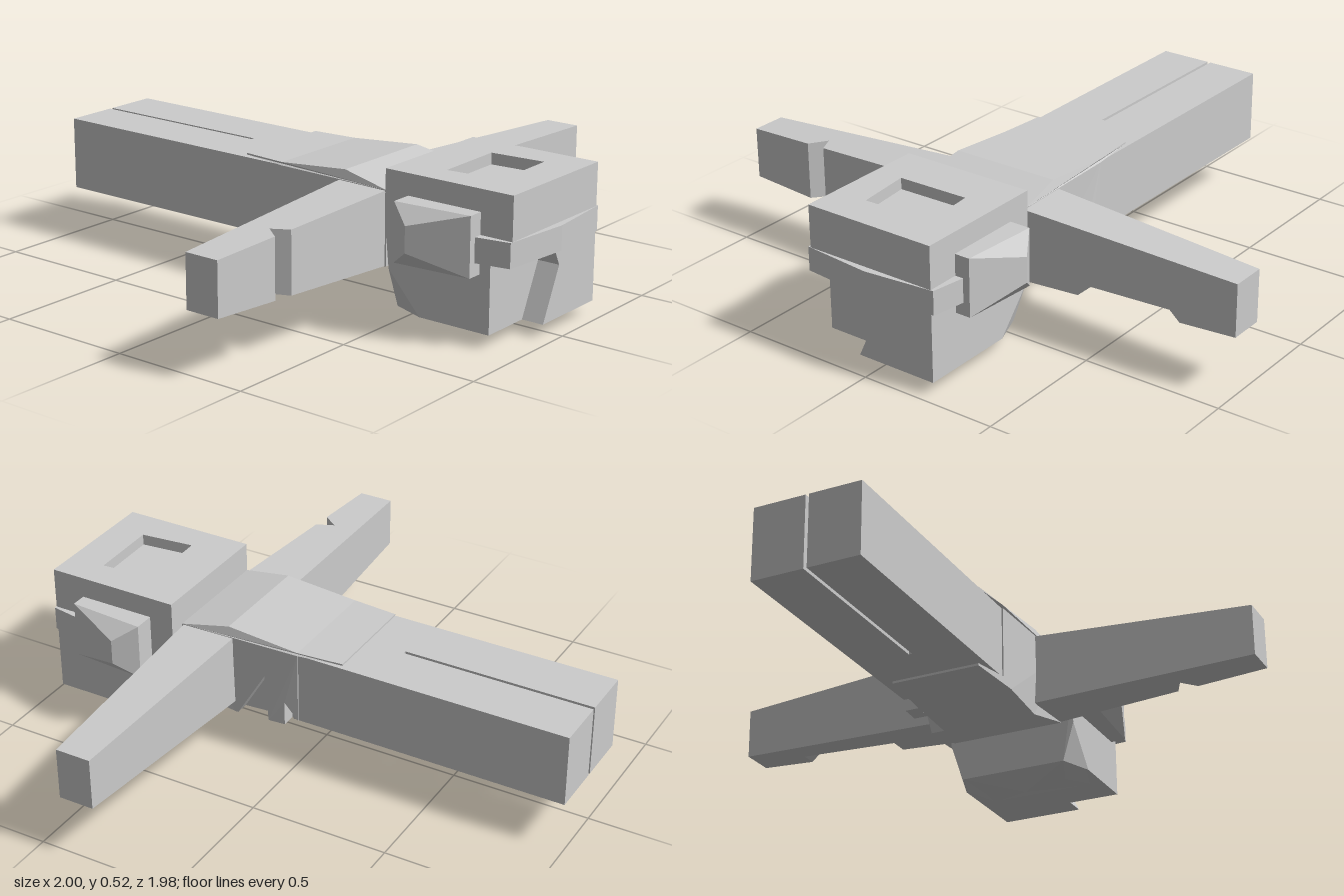
import * as THREE from 'three';
import { ConvexGeometry } from 'three/addons/geometries/ConvexGeometry.js';

const material = new THREE.MeshStandardMaterial({ color: 0xcccccc, flatShading: true });
const lerp = THREE.MathUtils.lerp;
const toVec2 = (pts) => pts.map(([a, b]) => new THREE.Vector2(a, b));

// Piecewise linear curve through [t, value] pairs in rising t
function curve(pairs, t) {
  for (let i = 1; i < pairs.length; i++) {
    const [t0, v0] = pairs[i - 1], [t1, v1] = pairs[i];
    if (t <= t1 || i === pairs.length - 1) return lerp(v0, v1, (t - t0) / (t1 - t0));
  }
}

// Extrudes an outline from c0 to c1, then places each point with map(a, b, c)
function prism(outline, c0, c1, map, hole) {
  const shape = new THREE.Shape(toVec2(outline));
  if (hole) shape.holes.push(new THREE.Path(toVec2(hole)));
  const geo = new THREE.ExtrudeGeometry(shape, { depth: c1 - c0, bevelEnabled: false });
  const p = geo.attributes.position;
  for (let i = 0; i < p.count; i++) p.setXYZ(i, ...map(p.getX(i), p.getY(i), p.getZ(i) + c0));
  // Turn the faces outward if the mapping mirrored them
  const v = [0, 1, 2].map(() => new THREE.Vector3());
  let volume = 0;
  for (let i = 0; i < p.count; i += 3) {
    v.forEach((q, k) => q.fromBufferAttribute(p, i + k));
    volume += v[0].dot(v[1].clone().cross(v[2]));
  }
  if (volume < 0) {
    for (let i = 0; i < p.count; i += 3) {
      v.forEach((q, k) => q.fromBufferAttribute(p, i + k));
      p.setXYZ(i + 1, v[2].x, v[2].y, v[2].z);
      p.setXYZ(i + 2, v[1].x, v[1].y, v[1].z);
    }
  }
  geo.computeVertexNormals();
  return geo;
}

const hull = (pts) => new ConvexGeometry(pts.map((q) => new THREE.Vector3(...q)));
const mirrored = (pts) => pts.flatMap(([x, y, z]) => [[x, y, z], [-x, y, z]]);

function boxBetween(x0, x1, y0, y1, z0, z1) {
  return new THREE.BoxGeometry(x1 - x0, y1 - y0, z1 - z0)
    .translate((x0 + x1) / 2, (y0 + y1) / 2, (z0 + z1) / 2);
}

export function createModel() {
  const model = new THREE.Group();
  model.name = 'blockFigure';
  const group = (name) => {
    const g = new THREE.Group();
    g.name = name;
    model.add(g);
    return g;
  };
  const add = (parent, name, geo) => {
    const mesh = new THREE.Mesh(geo, material);
    mesh.name = name;
    parent.add(mesh);
  };

  // Head: upper block, pocketed crown, chamfered jaw and broken face plate
  const head = group('head');
  const flatY = (x, z, y) => [x, y, z];
  add(head, 'headBlock', boxBetween(-0.245, 0.245, 0.29, 0.485, 0.47, 0.96));
  add(head, 'crown', prism(
    [[-0.245, 0.47], [0.245, 0.47], [0.245, 0.96], [-0.245, 0.96]], 0.485, 0.525, flatY,
    [[-0.14, 0.635], [0.12, 0.63], [0.135, 0.825], [-0.12, 0.83]]));
  add(head, 'jaw', hull(mirrored([
    [0.245, 0.29, 0.88], [0.245, 0.05, 0.88], [0.245, 0.29, 0.475],
    [0.245, 0.19, 0.485], [0.245, 0.05, 0.61], [0.2, 0.05, 0.49],
  ])));
  add(head, 'chin', hull(mirrored([
    [0.245, 0.052, 0.61], [0.16, 0.025, 0.6], [0, 0.005, 0.6], [0.2, 0.052, 0.49], [0.2, 0.052, 0.75],
  ])));
  add(head, 'facePlate', prism(
    [[0, 0.29], [0.03, 0.23], [-0.055, 0.05], [0.245, 0.05], [0.245, 0.29]],
    0.87, 0.96, (x, y, z) => [x, y, z]));
  add(head, 'visorBand', prism(
    [[-0.275, 0.84], [0.275, 0.84], [0.255, 0.96], [0, 0.985], [-0.255, 0.96]], 0.29, 0.375, flatY));

  // Ear pods: a block with an off-centre ridge
  for (const [name, s] of [['leftEar', 1], ['rightEar', -1]]) {
    const pts = [];
    for (const y of [0.245, 0.45]) {
      pts.push([0.23, y, 0.56], [0.32, y, 0.56], [0.23, y, 0.84], [0.3, y, 0.84]);
    }
    pts.push([0.37, 0.305, 0.64], [0.37, 0.395, 0.64]);
    add(head, name, hull(pts.map(([x, y, z]) => [s * x, y, z])));
  }

  // Torso: side profile with overhanging flaps, plus a notched layer on the left
  const torso = group('torso');
  const top = [[0.45, 0.44], [0.27, 0.475], [0, 0.452], [-0.165, 0.452], [-0.165, 0.446], [0, 0.44]];
  const bottom = [[0, 0.18], [-0.165, 0.164], [-0.165, 0.156], [0.05, 0.152]];
  const width = [[-0.165, 0.186], [0.05, 0.204], [0.27, 0.199], [0.45, 0.213]];
  const side = (z, y, c) => [c * curve(width, z), y, z];
  add(torso, 'torsoCore', prism(
    [...top, ...bottom, [0.25, 0.137], [0.45, 0.18]], -1, 0.75, side));
  add(torso, 'notchedSide', prism(
    [...top, [0, 0.18], [0.05, 0.24], [0.05, 0.152], [0.115, 0.147], [0.13, 0.32],
      [0.24, 0.138], [0.25, 0.137], [0.45, 0.18]], 0.75, 1, side));

  // Hips and legs
  const legs = group('legs');
  add(legs, 'hips', boxBetween(-0.195, 0.195, 0.18, 0.44, -0.3, 0.02));
  add(legs, 'leftLeg', boxBetween(0.006, 0.195, 0.18, 0.44, -0.99, -0.3));
  add(legs, 'rightLeg', boxBetween(-0.195, -0.006, 0.18, 0.44, -0.99, -0.3));

  // Arms: v and w run 0..1 over the tapering height and depth at distance x
  const arms = group('arms');
  const armPoint = (s, x, v, w) => {
    const t = (x - 0.2) / 0.8;
    return [s * x,
      lerp(lerp(0.18, 0.215, t), lerp(0.438, 0.4, t), v),
      lerp(lerp(0.25, 0.288, t), lerp(0.445, 0.415, t), w)];
  };
  const left = (x, v, w) => armPoint(1, x, v, w);
  add(arms, 'leftArmBack', prism([[0.2, 0], [1, 0], [1, 1], [0.2, 1]], 0, 0.6, left));
  add(arms, 'leftArmChippedFront', prism(
    [[0.2, 0], [0.42, 0], [0.48, 0.22], [0.55, 0.3], [0.64, 0.62], [0.74, 0.28], [0.8, 0],
      [1, 0], [1, 1], [0.2, 1]], 0.6, 1, left));
  add(arms, 'rightArmGrooved', prism(
    [[0.2, 0], [1, 0], [1, 1], [0.745, 1], [0.7, 0.6], [0.67, 1], [0.2, 1]],
    0, 1, (x, w, v) => armPoint(-1, x, v, w)));

  return model;
}
